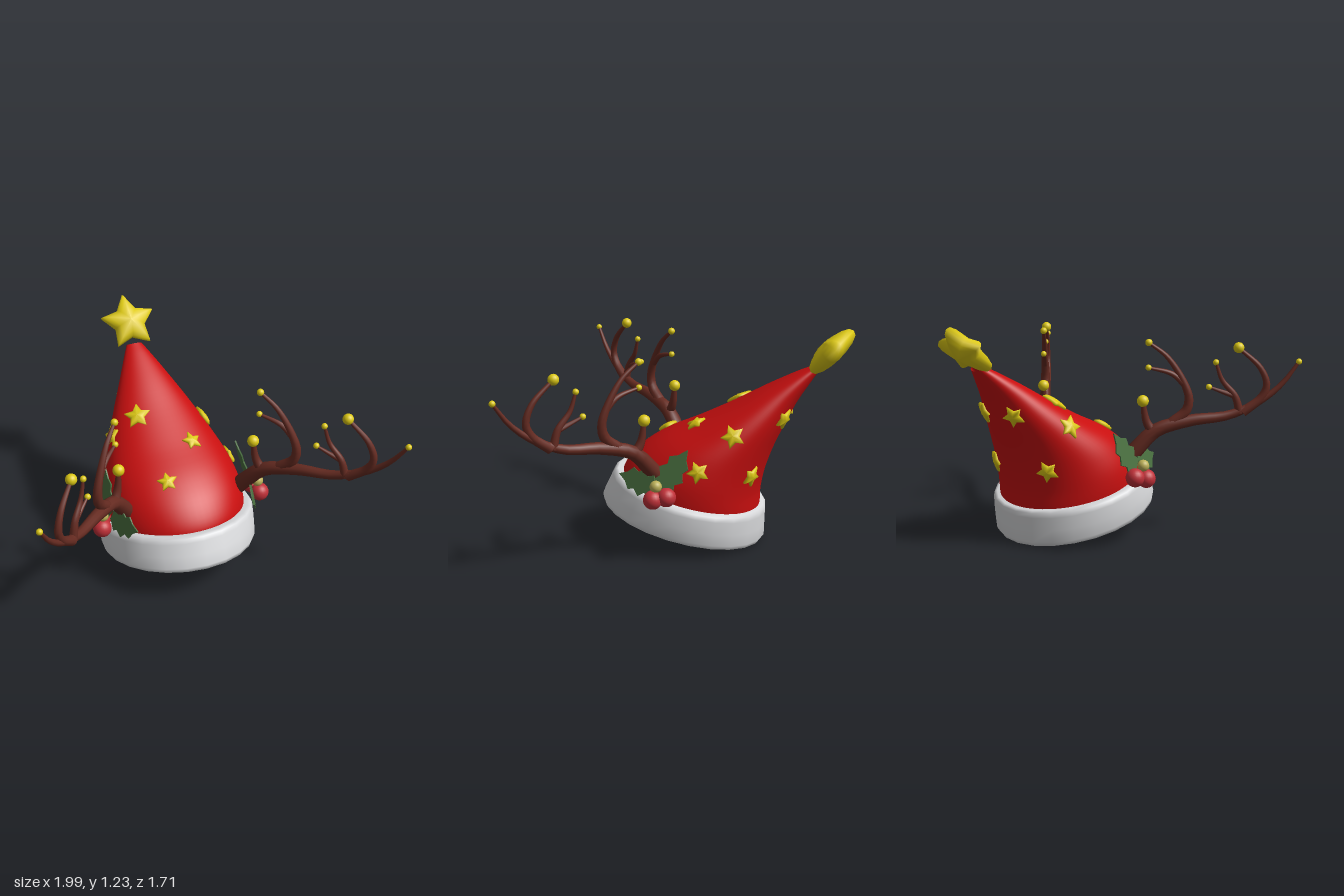
import * as THREE from 'three';

const V = (x, y, z) => new THREE.Vector3(x, y, z);
const mat = (name, color, double) => {
  const m = new THREE.MeshStandardMaterial({ color });
  m.name = name;
  if (double) m.side = THREE.DoubleSide;
  return m;
};

// Skin closed rings of points, listed in order along the part
function loft(rings, wrap = false) {
  const n = rings[0].length, idx = [];
  const rows = wrap ? rings.length : rings.length - 1;
  for (let i = 0; i < rows; i++) {
    const k = (i + 1) % rings.length;
    for (let j = 0; j < n; j++) {
      const l = (j + 1) % n;
      const a = i * n + j, b = i * n + l, c = k * n + l, d = k * n + j;
      idx.push(a, b, c, a, c, d);
    }
  }
  const g = new THREE.BufferGeometry().setFromPoints(rings.flat());
  g.setIndex(idx);
  g.computeVertexNormals();
  return g;
}

// Padded five-pointed star facing +z
function starGeometry(R, thick, inner = 0.52) {
  const layers = [[0, -1], [0.35, -0.92], [0.7, -0.7], [0.93, -0.4], [1, 0],
    [0.93, 0.4], [0.7, 0.7], [0.35, 0.92], [0, 1]];
  return loft(layers.map(([s, h]) => Array.from({ length: 10 }, (_, k) => {
    const a = Math.PI / 2 + k * Math.PI / 5, r = R * s * (k % 2 ? inner : 1);
    return V(r * Math.cos(a), r * Math.sin(a), h * thick);
  })));
}

// Tube whose radius runs from r0 to r1
function taperedTube(points, r0, r1) {
  const curve = new THREE.CatmullRomCurve3(points), n = 20, sides = 10;
  const g = new THREE.TubeGeometry(curve, n, 1, sides);
  const p = g.attributes.position, v = V(0, 0, 0);
  for (let i = 0; i <= n; i++) {
    const c = curve.getPointAt(i / n), r = r0 + (r1 - r0) * i / n;
    for (let j = 0; j <= sides; j++) {
      const k = i * (sides + 1) + j;
      v.fromBufferAttribute(p, k).sub(c).multiplyScalar(r).add(c);
      p.setXYZ(k, v.x, v.y, v.z);
    }
  }
  return g;
}

// Spiky holly leaf along +x
function leafGeometry(L, W) {
  const edge = [[0.04, 0.1], [0.14, 0.8], [0.26, 0.6], [0.4, 1], [0.54, 0.62], [0.68, 0.8], [0.8, 0.35]];
  const s = new THREE.Shape();
  s.moveTo(0, 0);
  edge.forEach(([u, v]) => s.lineTo(u * L, -v * W));
  s.lineTo(L, 0);
  [...edge].reverse().forEach(([u, v]) => s.lineTo(u * L, v * W));
  return new THREE.ExtrudeGeometry(s, { depth: 0.008, bevelEnabled: false });
}

export function createModel() {
  const root = new THREE.Group();
  const red = mat('red felt', 0xc80f0f, true);
  const white = mat('white trim', 0xd8d9db);
  const yellow = mat('yellow', 0xdcc814);
  const brown = mat('antler brown', 0x662b21);
  const green = mat('holly green', 0x4a7040);
  const berryRed = mat('berry red', 0xc03038);
  const khaki = mat('pale berry', 0xbcb058);
  const add = (parent, name, geo, material) => {
    const m = new THREE.Mesh(geo, material);
    m.name = name;
    parent.add(m);
    return m;
  };

  // Tilted brim: [half width, half length, height]
  const profile = [[0.3, 0.33, 0.012], [0.315, 0.345, 0], [0.405, 0.44, 0], [0.43, 0.466, 0.01],
    [0.441, 0.476, 0.035], [0.445, 0.462, 0.1], [0.443, 0.447, 0.17], [0.435, 0.44, 0.195],
    [0.415, 0.425, 0.205], [0.35, 0.37, 0.205], [0.315, 0.34, 0.195], [0.3, 0.33, 0.17]];
  const brim = add(root, 'brim', loft(profile.map(([w, l, h]) => Array.from({ length: 24 }, (_, j) => {
    const a = j / 24 * Math.PI * 2;
    return V(w * Math.sin(a), h, l * Math.cos(a));
  })), true), white);
  brim.position.set(0, 0.12, 0.085);
  brim.rotation.x = -0.245;

  // Leaning cone: front point (z, y), back point (z, y), half width
  const sections = [[0.43, 0.35, -0.345, 0.14, 0.385], [0.41, 0.43, -0.355, 0.21, 0.395],
    [0.33, 0.53, -0.36, 0.31, 0.39], [0.2, 0.62, -0.385, 0.43, 0.36], [0, 0.71, -0.43, 0.56, 0.305],
    [-0.2, 0.81, -0.49, 0.69, 0.235], [-0.4, 0.92, -0.56, 0.83, 0.15],
    [-0.56, 1.0, -0.63, 0.94, 0.08], [-0.63, 1.03, -0.67, 1.0, 0.045]];
  const front = new THREE.CatmullRomCurve3(sections.map(s => V(s[4], s[1], s[0])));
  const back = new THREE.CatmullRomCurve3(sections.map(s => V(s[4], s[3], s[2])));
  const rings = [];
  for (let i = 0; i <= 40; i++) {
    const f = front.getPoint(i / 40), b = back.getPoint(i / 40);
    rings.push(Array.from({ length: 64 }, (_, j) => {
      const a = j / 64 * Math.PI * 2, t = (1 + Math.cos(a)) / 2;
      return V(f.x * Math.sin(a), b.y + (f.y - b.y) * t, b.z + (f.z - b.z) * t);
    }));
  }
  const cone = add(root, 'hatCone', loft(rings), red);

  // Star at the tip
  const top = add(root, 'tipStar', starGeometry(0.168, 0.062, 0.56), yellow);
  top.position.set(0, 1.115, -0.735);
  top.rotation.x = -Math.PI / 4;

  // Small stars seated on the nearest point of the cone
  const spots = [[0.36, 0.51, -0.07, 0.065], [-0.14, 0.81, -0.23, 0.08],
    [0.12, 0.72, -0.03, 0.06], [-0.11, 0.63, 0.18, 0.06]];
  for (const s of [-1, 1])
    spots.push([s * 0.27, 0.69, -0.25, 0.07], [s * 0.13, 0.74, -0.53, 0.065], [s * 0.2, 0.44, -0.34, 0.065]);
  const cp = cone.geometry.attributes.position, cn = cone.geometry.attributes.normal;
  for (const [x, y, z, R] of spots) {
    const target = V(x, y, z), p = V(0, 0, 0);
    let best = 0, dist = Infinity;
    for (let i = 0; i < cp.count; i++) {
      const d = p.fromBufferAttribute(cp, i).distanceToSquared(target);
      if (d < dist) { dist = d; best = i; }
    }
    p.fromBufferAttribute(cp, best);
    const n = V(0, 0, 0).fromBufferAttribute(cn, best);
    const side = V(0, 1.1, -0.75).sub(p).cross(n).normalize();
    const star = add(root, 'hatStar', starGeometry(R, 0.02), yellow);
    star.quaternion.setFromRotationMatrix(new THREE.Matrix4().makeBasis(side, n.clone().cross(side), n));
    star.position.copy(p).addScaledVector(n, 0.004);
  }

  // Antler branches: start radius, end radius, ball radius, then (x, y) points
  const branches = [
    [0.048, 0.009, 0.017, [[0.33, 0.45], [0.37, 0.52], [0.44, 0.62], [0.57, 0.675], [0.72, 0.705], [0.84, 0.785], [0.92, 0.88], [0.98, 1]]],
    [0.032, 0.012, 0.033, [[0.44, 0.59], [0.405, 0.67], [0.39, 0.785]]],
    [0.032, 0.009, 0.02, [[0.5, 0.66], [0.555, 0.73], [0.565, 0.8], [0.54, 0.9], [0.48, 1.03], [0.41, 1.108]]],
    [0.02, 0.008, 0.017, [[0.552, 0.87], [0.5, 0.935], [0.41, 0.97]]],
    [0.028, 0.01, 0.03, [[0.77, 0.72], [0.84, 0.8], [0.86, 0.87], [0.835, 0.965], [0.75, 1.078]]],
    [0.024, 0.008, 0.017, [[0.76, 0.715], [0.74, 0.81], [0.69, 0.9], [0.665, 0.998]]],
    [0.016, 0.007, 0.017, [[0.74, 0.81], [0.69, 0.835], [0.64, 0.862]]]];

  for (const s of [-1, 1]) {
    const antler = new THREE.Group();
    antler.name = s > 0 ? 'leftAntler' : 'rightAntler';
    root.add(antler);
    for (const [r0, r1, ball, pts] of branches) {
      const path = pts.map(([x, y]) => V(s * x, y, 0.18 + 1.05 * (x - 0.36)));
      add(antler, 'antlerBranch', taperedTube(path, r0, r1), brown);
      add(antler, 'antlerBall', new THREE.SphereGeometry(ball, 16, 12), yellow).position.copy(path.at(-1));
    }

    // Holly leaves and berries
    const holly = new THREE.Group();
    holly.name = s > 0 ? 'leftHolly' : 'rightHolly';
    root.add(holly);
    for (const [a, b] of [[V(s * 0.42, 0.42, 0.14), V(s * 0.335, 0.465, 0.365)],
      [V(s * 0.425, 0.41, 0.12), V(s * 0.385, 0.635, -0.025)]]) {
      const dir = b.clone().sub(a), L = dir.length();
      dir.normalize();
      const side = V(s, 0.2, 0.1).cross(dir).normalize();
      const leaf = add(holly, 'hollyLeaf', leafGeometry(L, 0.078), green);
      leaf.quaternion.setFromRotationMatrix(new THREE.Matrix4().makeBasis(dir, side, dir.clone().cross(side)));
      leaf.position.copy(a);
    }
    for (const [x, y, z, r, m] of [[0.475, 0.373, 0.15, 0.052, berryRed],
      [0.455, 0.385, 0.08, 0.052, berryRed], [0.465, 0.445, 0.135, 0.033, khaki]])
      add(holly, 'berry', new THREE.SphereGeometry(r, 20, 14), m).position.set(s * x, y, z);
  }
  return root;
}
